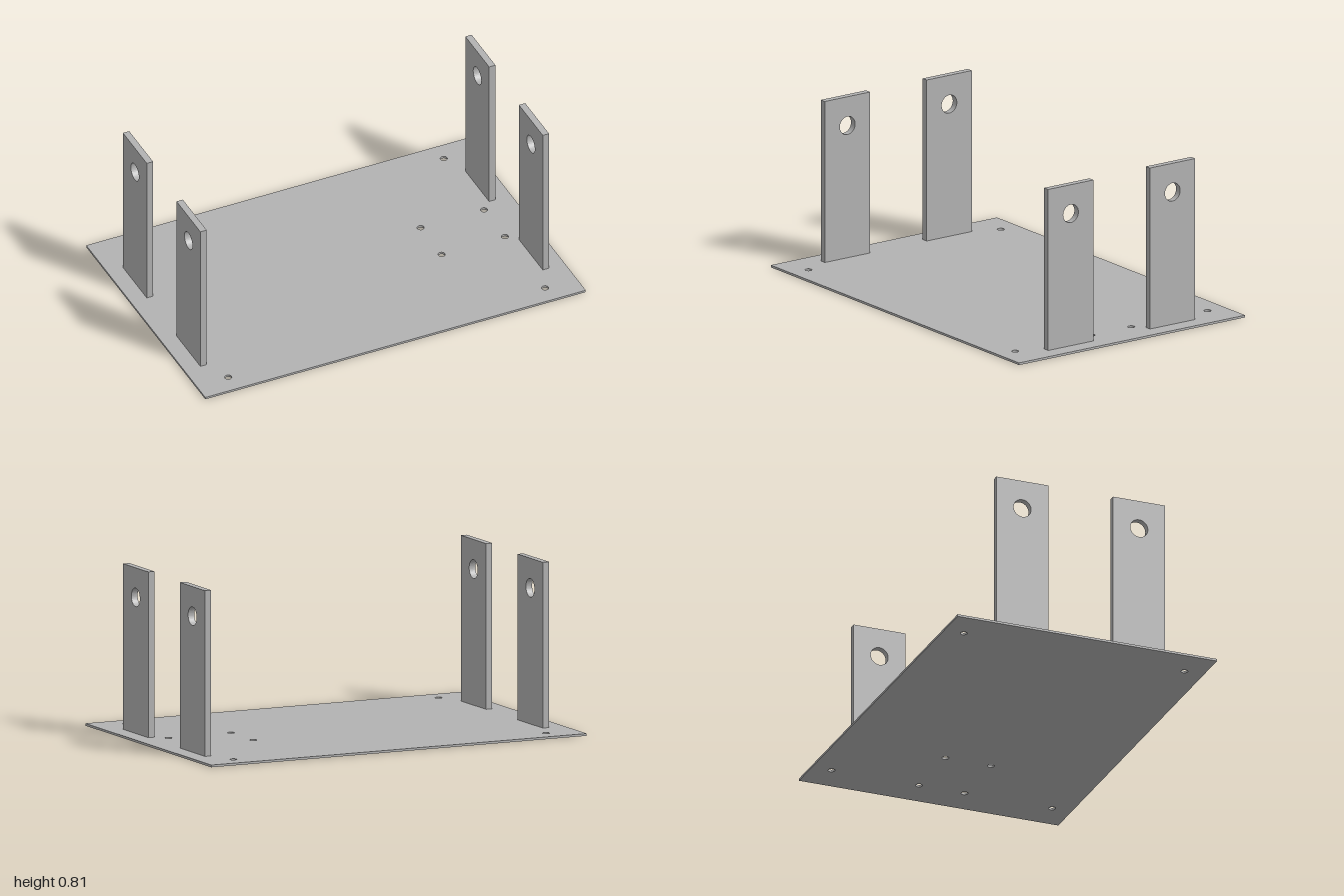
import * as THREE from 'three';

const PLATE = { width: 2, depth: 1.333, thickness: 0.011 };
const UPRIGHT = { width: 0.267, height: 0.8, thickness: 0.033 };

// Rectangle centred on x, starting at y0, with round holes [x, y, radius]
function drilledPanel(width, y0, height, thickness, holes) {
  const w = width / 2;
  const shape = new THREE.Shape();
  shape.moveTo(-w, y0).lineTo(w, y0).lineTo(w, y0 + height).lineTo(-w, y0 + height).closePath();
  for (const [x, y, r] of holes) {
    shape.holes.push(new THREE.Path().absarc(x, y, r, 0, Math.PI * 2, true));
  }
  return new THREE.ExtrudeGeometry(shape, { depth: thickness, bevelEnabled: false, curveSegments: 20 });
}

export function createModel() {
  const group = new THREE.Group();
  group.name = 'mountingBase';
  const grey = new THREE.MeshStandardMaterial({ color: 0xb2b2b2 });
  grey.name = 'plainGrey';

  // Base plate: four corner holes and a square pattern near the left side
  const holes = [];
  for (const s of [-1, 1]) {
    holes.push([-0.833, s * 0.567, 0.017], [0.833, s * 0.567, 0.017]);
    holes.push([0.5, s * 0.117, 0.017], [0.833, s * 0.117, 0.017]);
  }
  const plateGeometry = drilledPanel(PLATE.width, -PLATE.depth / 2, PLATE.depth, PLATE.thickness, holes);
  plateGeometry.rotateX(Math.PI / 2).translate(0, PLATE.thickness, 0);
  const plate = new THREE.Mesh(plateGeometry, grey);
  plate.name = 'basePlate';
  group.add(plate);

  // Four uprights, each with a shaft hole near the top
  const uprightGeometry = drilledPanel(UPRIGHT.width, 0, UPRIGHT.height, UPRIGHT.thickness, [[0, 0.657, 0.045]]);
  uprightGeometry.translate(0, 0, -UPRIGHT.thickness / 2).rotateY(Math.PI / 2);
  for (const x of [-0.9, 0.9]) {
    for (const z of [-0.3, 0.3]) {
      const upright = new THREE.Mesh(uprightGeometry, grey);
      upright.name = `${z > 0 ? 'front' : 'back'}${x > 0 ? 'Left' : 'Right'}Upright`;
      upright.position.set(x, PLATE.thickness, z);
      group.add(upright);
    }
  }
  return group;
}
